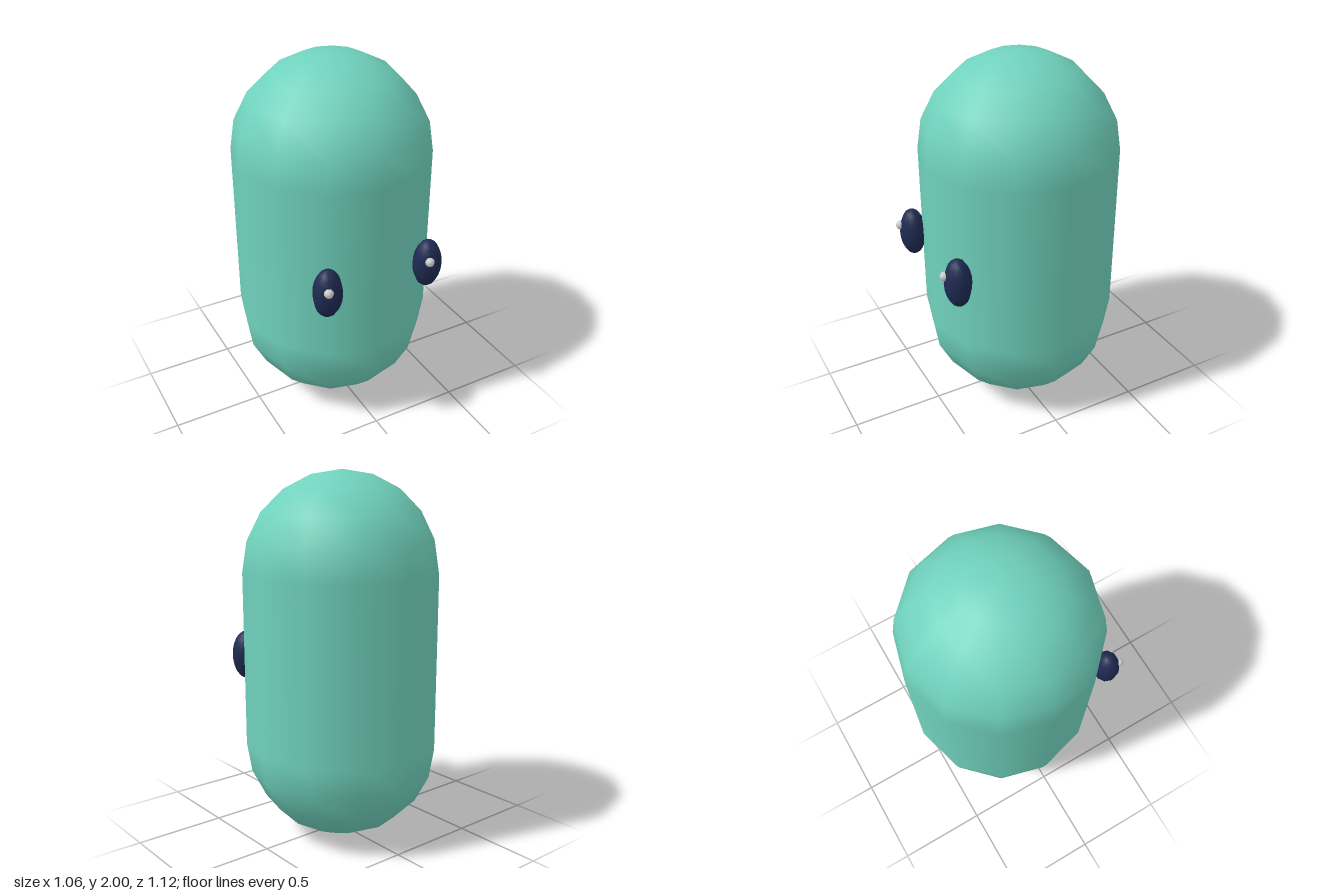
import * as THREE from 'three';

export function createModel() {
  const model = new THREE.Group();
  model.name = 'capsuleCreature';
  const skin = new THREE.MeshStandardMaterial({ color: 0x70d2bd });
  const navy = new THREE.MeshStandardMaterial({ color: 0x1e2a52 });
  const pale = new THREE.MeshStandardMaterial({ color: 0xcccccc });

  // Twelve-sided capsule body, set slightly back
  const radius = 0.53;
  const body = new THREE.Mesh(new THREE.CapsuleGeometry(radius, 2 - 2 * radius, 5, 12, 1), skin);
  body.name = 'body';
  body.position.set(0, 1, -0.03);
  model.add(body);

  const ellipsoid = (rx, ry, rz, sides, rings) =>
    new THREE.SphereGeometry(1, sides, rings).scale(rx, ry, rz);
  const eyeGeometry = ellipsoid(0.079, 0.137, 0.071, 10, 12);
  const glintGeometry = ellipsoid(0.025, 0.025, 0.025, 8, 8).rotateY(Math.PI / 8);

  // Oval eyes, each with a glint shifted to the same side
  for (const [side, name] of [[1, 'left'], [-1, 'right']]) {
    const eye = new THREE.Group();
    eye.name = `${name}Eye`;
    eye.position.set(side * 0.294, 0.963, 0.475);
    const ball = new THREE.Mesh(eyeGeometry, navy);
    ball.name = `${name}Eyeball`;
    const glint = new THREE.Mesh(glintGeometry, pale);
    glint.name = `${name}Glint`;
    glint.position.set(-0.026, 0.042, 0.062);
    eye.add(ball, glint);
    model.add(eye);
  }
  return model;
}
